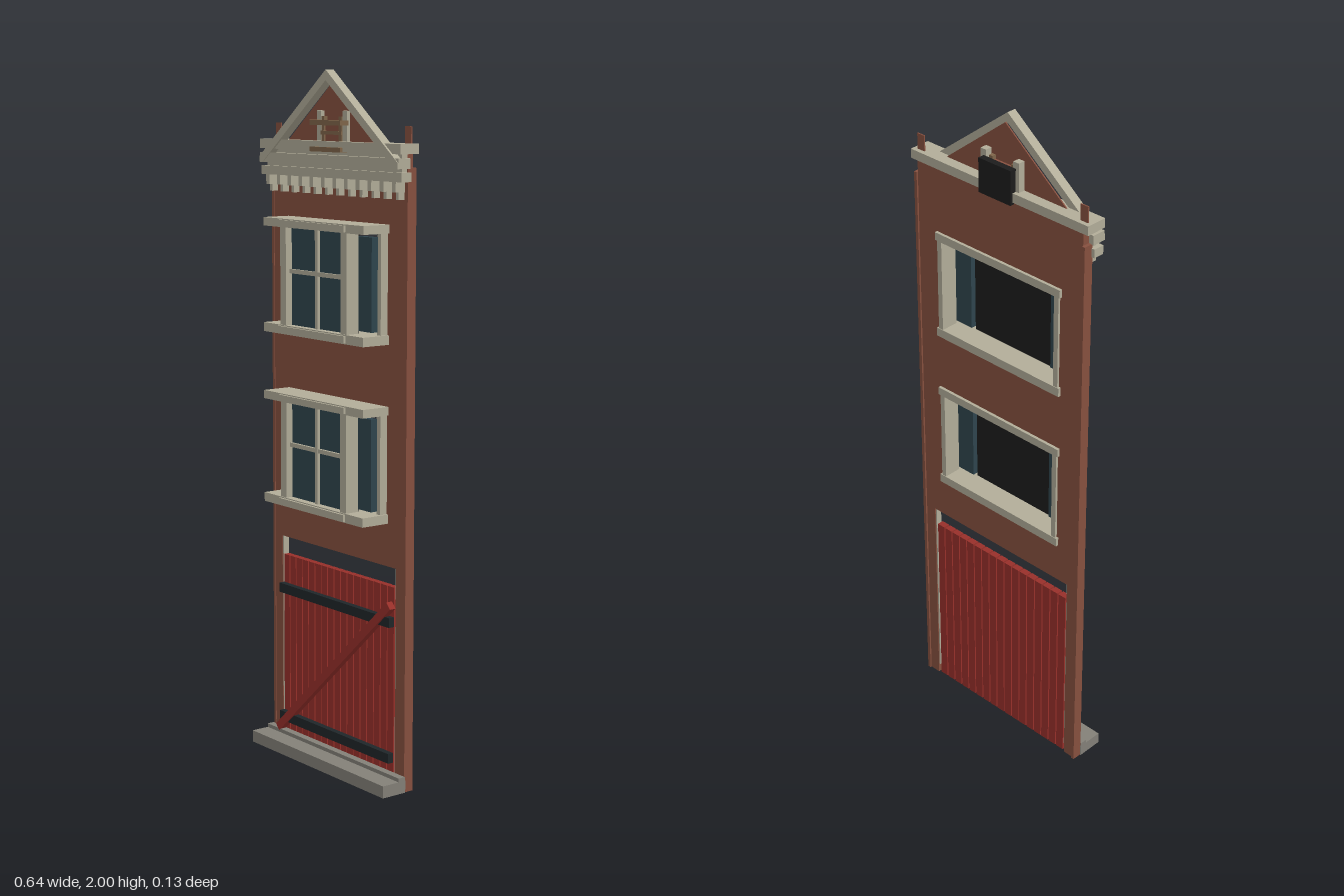
import * as THREE from 'three';

const mat = (name, hex) => {
  const m = new THREE.MeshStandardMaterial({ color: hex });
  m.name = name;
  return m;
};

export function createModel() {
  const brick = mat('brick', 0x87503f);
  const stone = mat('stone', 0xb2ad99);
  const plinthGrey = mat('plinth grey', 0x838078);
  const glass = mat('glass', 0x2f454e);
  const black = mat('black', 0x1c1c1c);
  const iron = mat('iron', 0x1f2629);
  const red = mat('red paint', 0x98302a);
  const wood = mat('wood', 0x80664a);

  const root = new THREE.Group();
  root.name = 'townhouseFacade';

  // Box given by its limits on each axis
  const box = (name, m, x0, x1, y0, y1, z0, z1, parent = root) => {
    const mesh = new THREE.Mesh(new THREE.BoxGeometry(x1 - x0, y1 - y0, z1 - z0), m);
    mesh.position.set((x0 + x1) / 2, (y0 + y1) / 2, (z0 + z1) / 2);
    mesh.name = name;
    parent.add(mesh);
    return mesh;
  };
  // Mirrored pair of boxes
  const pair = (name, m, x0, x1, ...rest) => {
    box(name + 'Left', m, x0, x1, ...rest);
    box(name + 'Right', m, -x1, -x0, ...rest);
  };
  const outline = (pts) => new THREE.Shape(pts.map(([x, y]) => new THREE.Vector2(x, y)));
  const slab = (name, m, shape, z0, z1) => {
    const geo = new THREE.ExtrudeGeometry(shape, { depth: z1 - z0, bevelEnabled: false });
    geo.translate(0, 0, z0);
    const mesh = new THREE.Mesh(geo, m);
    mesh.name = name;
    root.add(mesh);
  };

  // Brick wall with the doorway and two window openings
  const wall = outline([[-0.302, 0], [-0.268, 0], [-0.268, 0.635], [0.268, 0.635],
    [0.268, 0], [0.302, 0], [0.302, 1.78], [-0.302, 1.78]]);
  for (const y of [0.77, 1.27]) {
    wall.holes.push(outline([[-0.215, y], [-0.215, y + 0.305], [0.215, y + 0.305], [0.215, y]]));
  }
  slab('wall', brick, wall, -0.055, -0.032);
  pair('cornerStrip', brick, 0.302, 0.312, 0, 1.74, -0.06, -0.03);
  box('plinth', plinthGrey, -0.315, 0.315, 0, 0.035, -0.032, 0.048);
  box('plinthStep', plinthGrey, -0.315, 0.315, 0.035, 0.046, -0.03, -0.008);

  // Door: planks, iron straps and diagonal brace
  pair('doorJamb', stone, 0.264, 0.27, 0.03, 0.635, -0.052, -0.034);
  const planks = 17, pitch = 0.524 / planks;
  for (let i = 0; i < planks; i++) {
    const x = -0.262 + i * pitch;
    box('doorPlank', red, x + 0.002, x + pitch - 0.002, 0.002, 0.58, -0.052, -0.032);
  }
  for (const y of [0.073, 0.467]) box('doorStrap', iron, -0.26, 0.26, y, y + 0.028, -0.032, -0.014);
  const brace = box('doorBrace', red, -0.358, 0.358, 0.278, 0.302, -0.028, -0.008);
  brace.rotation.z = Math.atan2(0.485, 0.53);

  // Bay windows
  for (const y of [0.757, 1.257]) {
    const bay = new THREE.Group();
    bay.name = 'bayWindow';
    bay.position.y = y;
    root.add(bay);
    for (const [name, a, b] of [['sill', 0, 0.026], ['lintel', 0.304, 0.328]]) {
      box(name, stone, -0.232, 0.232, a, b, -0.064, 0.058, bay);
      box(name + 'Front', stone, -0.154, 0.154, a + 0.003, b - 0.003, 0.058, 0.065, bay);
    }
    for (const s of [-1, 1]) {
      const side = (name, m, x0, x1, ...r) =>
        box(name, m, Math.min(s * x0, s * x1), Math.max(s * x0, s * x1), ...r, bay);
      side('endPost', stone, 0.21, 0.226, 0.02, 0.31, -0.062, -0.008);
      side('frontPost', stone, 0.127, 0.154, 0.02, 0.31, 0.013, 0.055);
      side('sideGlass', glass, 0.15, 0.212, 0.034, 0.294, -0.008, 0.013);
    }
    box('frontGlass', glass, -0.13, 0.13, 0.02, 0.31, 0.026, 0.034, bay);
    box('backing', black, -0.148, 0.148, 0.024, 0.306, 0.006, 0.012, bay);
    box('verticalBar', stone, -0.006, 0.006, 0.02, 0.31, 0.034, 0.043, bay);
    box('horizontalBar', stone, -0.128, 0.128, 0.174, 0.186, 0.034, 0.042, bay);
  }

  // Stepped cornice with a row of brackets
  box('corniceTop', stone, -0.322, 0.322, 1.777, 1.804, -0.06, 0.004);
  box('corniceCore', stone, -0.308, 0.308, 1.703, 1.78, -0.032, -0.012);
  box('corniceMiddle', stone, -0.318, 0.318, 1.738, 1.766, -0.034, 0.008);
  box('corniceLower', stone, -0.322, 0.322, 1.703, 1.728, -0.034, 0);
  for (let i = 0; i < 12; i++) {
    const x = -0.29 + i * 0.0527;
    box('bracket', stone, x - 0.008, x + 0.008, 1.675, 1.705, -0.033, 0);
    box('bracketFoot', stone, x - 0.006, x + 0.006, 1.655, 1.675, -0.033, -0.012);
  }

  // Gable: brick sheet, sloping coping and end finials
  slab('gableWall', brick, outline([[-0.235, 1.79], [0.235, 1.79], [0, 1.975]]), -0.027, -0.023);
  slab('gableCoping', stone, outline([[0, 2], [-0.318, 1.754], [-0.318, 1.738], [-0.302, 1.738],
    [0, 1.971], [0.302, 1.738], [0.318, 1.738], [0.318, 1.754]]), -0.018, 0.01);
  pair('finial', brick, 0.283, 0.309, 1.78, 1.85, -0.047, -0.043);

  // Small attic window with wooden frame
  pair('atticPost', stone, 0.049, 0.069, 1.777, 1.888, -0.048, -0.012);
  box('atticBacking', black, -0.058, 0.058, 1.77, 1.87, -0.068, -0.048);
  box('atticPanel', brick, -0.047, 0.047, 1.8, 1.86, -0.04, -0.016);
  box('atticLintel', wood, -0.07, 0.07, 1.848, 1.862, -0.016, 0.013);
  box('atticSill', wood, -0.07, 0.07, 1.775, 1.788, -0.016, 0.013);
  pair('atticFrame', wood, 0.034, 0.046, 1.79, 1.872, -0.04, -0.01);
  box('atticRail', wood, -0.046, 0.046, 1.822, 1.832, -0.04, -0.008);
  return root;
}
